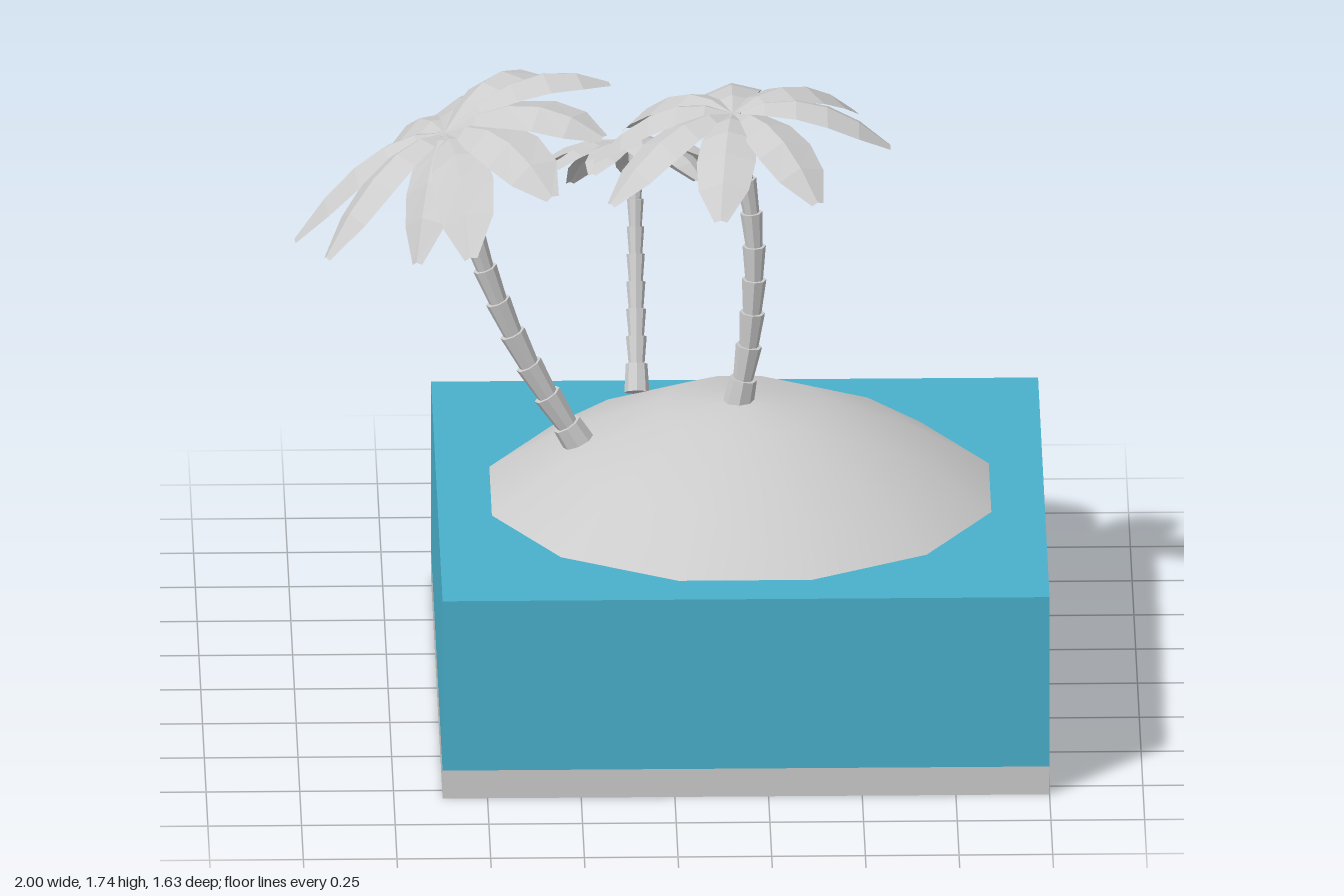
import * as THREE from 'three';

const grey = (opts = {}) => new THREE.MeshStandardMaterial({ color: 0xcccccc, ...opts });
const V = (x, y, z) => new THREE.Vector3(x, y, z);

function add(parent, name, geometry, material) {
  const mesh = new THREE.Mesh(geometry, material);
  mesh.name = name;
  parent.add(mesh);
  return mesh;
}

// Folded leaf swept along an arched spine from the crown to its tip
function leafGeometry(tip, up, halfWidth, lift) {
  const mid = tip.clone().multiplyScalar(0.5);
  mid.y += lift;
  const spine = new THREE.QuadraticBezierCurve3(V(0, 0, 0), mid, tip);
  const widths = [0.22, 0.62, 0.9, 1, 0.85, 0.22];
  const pos = [], index = [];
  widths.forEach((w, i) => {
    const t = i / (widths.length - 1);
    const p = spine.getPoint(t);
    const side = spine.getTangent(t).cross(up).normalize().multiplyScalar(w * halfWidth);
    const drop = up.clone().multiplyScalar(-0.35 * w * halfWidth);
    for (const s of [-1, 0, 1]) {
      const q = p.clone().addScaledVector(side, s);
      if (s) q.add(drop);
      pos.push(q.x, q.y, q.z);
    }
    if (i) for (const c of [0, 1]) {
      const a = (i - 1) * 3 + c, b = i * 3 + c;
      index.push(a, a + 1, b + 1, a, b + 1, b);
    }
  });
  const g = new THREE.BufferGeometry();
  g.setAttribute('position', new THREE.Float32BufferAttribute(pos, 3));
  g.setIndex(index);
  g.computeVertexNormals();
  return g;
}

function palm({ name, path, radius, segments, up, halfWidth, lift, tips }) {
  const tree = new THREE.Group();
  tree.name = name;

  // Trunk: stacked segments, each flaring towards its top
  const curve = new THREE.CatmullRomCurve3(path.map(p => V(...p)));
  const trunkMaterial = grey({ flatShading: true });
  for (let i = 0; i < segments; i++) {
    const a = curve.getPointAt(i / segments), b = curve.getPointAt((i + 1) / segments);
    const dir = b.clone().sub(a);
    const r = radius * (1 - 0.35 * i / segments);
    const g = new THREE.CylinderGeometry(r, r * (i ? 0.75 : 1.15), dir.length() * 1.04, 8);
    const seg = add(tree, 'trunkSegment', g, trunkMaterial);
    seg.position.copy(a).add(b).multiplyScalar(0.5);
    seg.quaternion.setFromUnitVectors(V(0, 1, 0), dir.normalize());
  }

  // Crown of leaves
  const crown = new THREE.Group();
  crown.name = 'crown';
  crown.position.set(...path[path.length - 1]);
  const leafMaterial = grey({ flatShading: true, side: THREE.DoubleSide });
  const normal = V(...up).normalize();
  for (const t of tips) add(crown, 'leaf', leafGeometry(V(...t), normal, halfWidth, lift), leafMaterial);
  tree.add(crown);
  return tree;
}

export function createModel() {
  const model = new THREE.Group();
  model.name = 'palmIsland';

  // Square block of water on a sand slab
  add(model, 'seabed', new THREE.BoxGeometry(1.62, 0.08, 1.61), grey()).position.set(0.19, 0.04, 0.005);
  add(model, 'water', new THREE.BoxGeometry(1.62, 0.485, 1.61),
    new THREE.MeshStandardMaterial({ color: 0x4ab0cc })).position.set(0.19, 0.3225, 0.005);

  // Twelve-sided sand mound
  const profile = [[0.7, 0.555], [0.69, 0.565], [0.49, 0.69], [0.225, 0.805], [0, 0.827]];
  const mound = add(model, 'sandMound',
    new THREE.LatheGeometry(profile.map(p => new THREE.Vector2(...p)), 12), grey());
  mound.rotation.y = Math.PI / 12;
  mound.position.set(0.19, 0, 0.005);

  // Tall upright palm
  model.add(palm({
    name: 'uprightPalm', radius: 0.037, segments: 9, up: [-0.08, 1, 0], halfWidth: 0.08, lift: 0.15,
    path: [[0.18, 0.79, 0.01], [0.215, 1.0, 0.01], [0.225, 1.3, 0.01], [0.17, 1.64, 0]],
    tips: [
      [0.42, -0.09, 0.01], [0.33, -0.08, -0.22], [0, -0.13, -0.4], [-0.28, -0.16, -0.31],
      [-0.37, -0.15, -0.05], [-0.33, -0.17, 0.22], [-0.04, -0.15, 0.4], [0.22, -0.12, 0.35],
    ],
  }));

  // Tall palm leaning outwards
  model.add(palm({
    name: 'leaningPalm', radius: 0.04, segments: 10, up: [-0.4, 1, 0], halfWidth: 0.085, lift: 0.17,
    path: [[-0.22, 0.67, 0.01], [-0.385, 0.95, 0.01], [-0.5, 1.23, 0.01], [-0.6, 1.59, 0]],
    tips: [
      [-0.4, -0.3, 0], [-0.32, -0.26, 0.24], [-0.08, -0.25, 0.31], [0.06, -0.17, 0.48],
      [0.28, -0.04, 0.37], [0.42, 0.06, 0.19], [0.44, 0.12, -0.06], [0.26, 0.06, -0.25],
      [0.1, -0.13, -0.45], [-0.16, -0.25, -0.39],
    ],
  }));

  // Small palm leaning to the back
  model.add(palm({
    name: 'smallPalm', radius: 0.029, segments: 9, up: [0, 1, -0.4], halfWidth: 0.055, lift: 0.11,
    path: [[-0.08, 0.72, -0.32], [-0.08, 0.92, -0.43], [-0.08, 1.12, -0.515], [-0.08, 1.33, -0.57]],
    tips: [
      [0, -0.2, -0.25], [0.17, -0.18, -0.2], [0.26, -0.13, -0.1], [0.3, -0.09, 0.06],
      [0.18, 0, 0.28], [0.02, 0.06, 0.26], [-0.12, 0.03, 0.29], [-0.28, -0.04, 0.18],
      [-0.31, -0.09, 0.02], [-0.17, -0.18, -0.19],
    ],
  }));

  return model;
}
